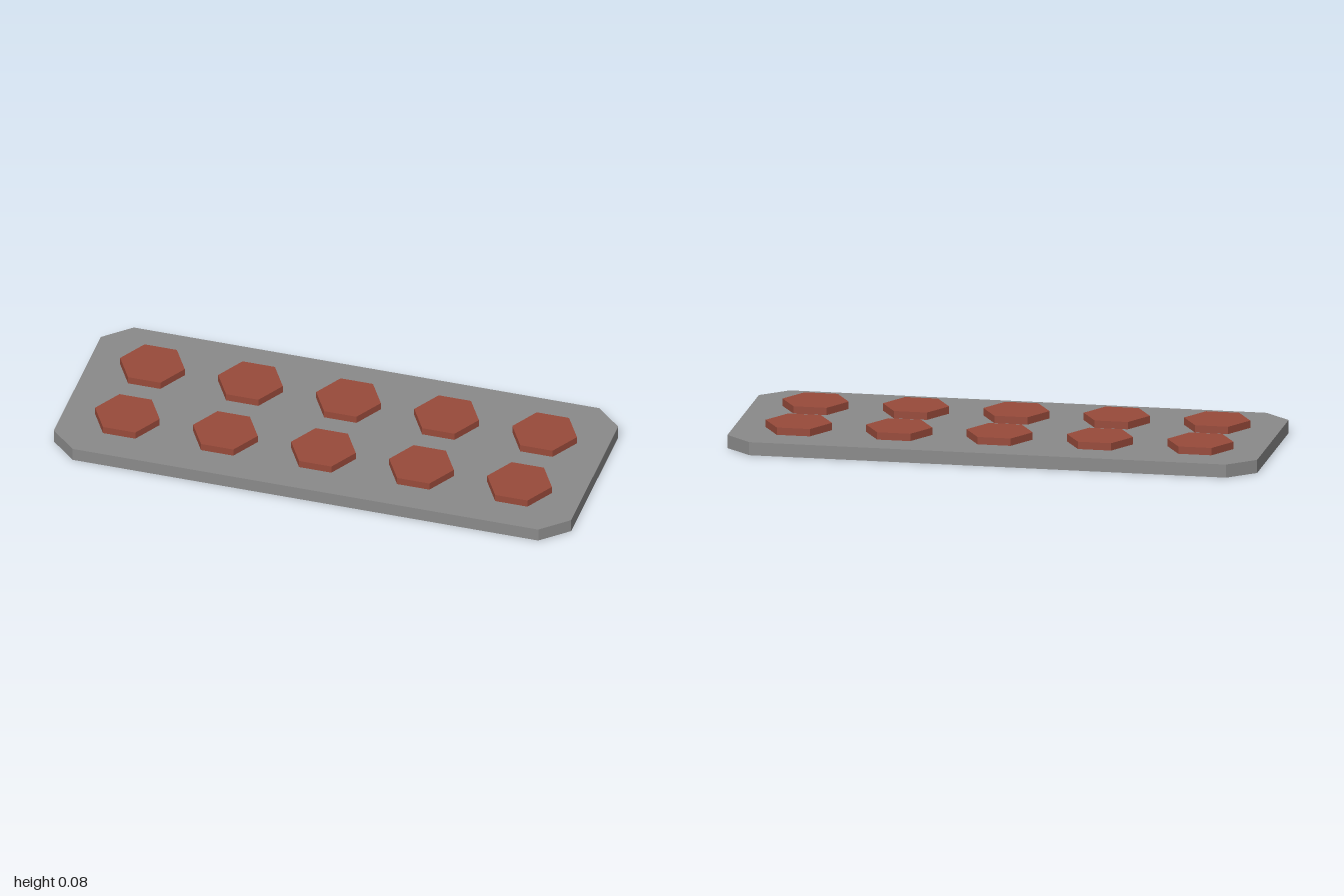
import * as THREE from 'three';

export function createModel() {
  const model = new THREE.Group();
  const plateGray = new THREE.MeshStandardMaterial({ color: 0x8a8a8a });
  plateGray.name = 'plateGray';
  const studRed = new THREE.MeshStandardMaterial({ color: 0x984a3a });
  studRed.name = 'studRed';

  // Base plate with chamfered corners
  const [w, d, cx, cz, plateHeight] = [1, 0.4, 0.9, 0.308, 0.05];
  const outline = new THREE.Shape([
    [w, -cz], [w, cz], [cx, d], [-cx, d], [-w, cz], [-w, -cz], [-cx, -d], [cx, -d],
  ].map(([x, y]) => new THREE.Vector2(x, y)));
  const plateGeometry = new THREE.ExtrudeGeometry(outline, { depth: plateHeight, bevelEnabled: false });
  plateGeometry.rotateX(-Math.PI / 2);
  const plate = new THREE.Mesh(plateGeometry, plateGray);
  plate.name = 'basePlate';
  model.add(plate);

  // Two rows of five hexagonal studs, corners pointing along x
  const studHeight = 0.028;
  const studGeometry = new THREE.CylinderGeometry(0.125, 0.125, studHeight, 6, 1, false, Math.PI / 6)
    .toNonIndexed();
  studGeometry.computeVertexNormals();
  const studs = new THREE.Group();
  studs.name = 'hexStuds';
  for (const z of [-0.164, 0.164]) {
    for (let i = -2; i <= 2; i++) {
      const stud = new THREE.Mesh(studGeometry, studRed);
      stud.name = 'hexStud';
      stud.position.set(i * 0.379, plateHeight + studHeight / 2, z);
      studs.add(stud);
    }
  }
  model.add(studs);
  return model;
}
